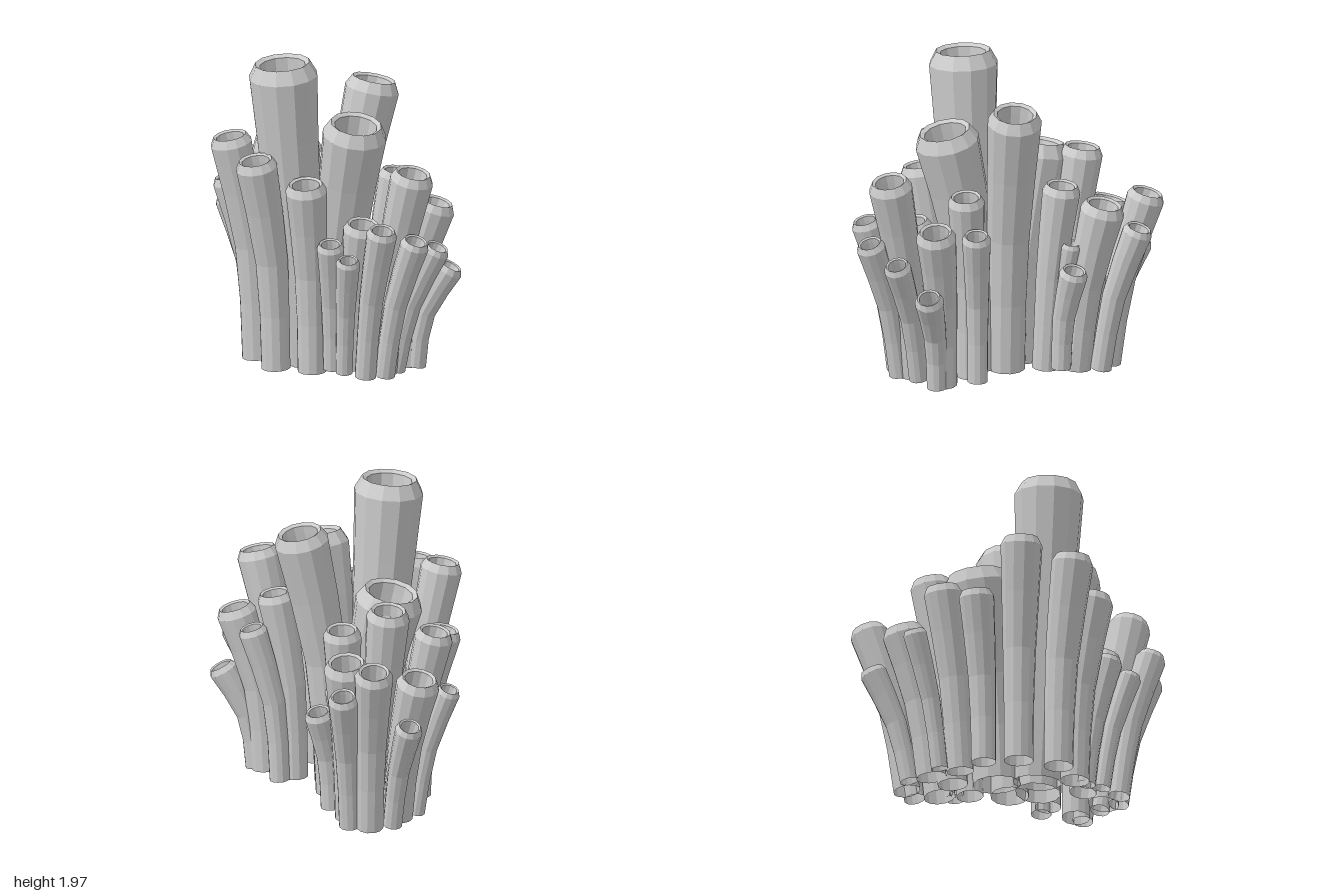
import * as THREE from 'three';

const SIDES = 12;

// Each cluster: how far its feet gather toward the middle in x and z, foot height,
// how much of the sideways lean is reached at half height,
// and its tubes as rim centre x, y, z and widest radius
const CLUSTERS = [
  {
    name: 'tallTube', gatherX: 0.38, gatherZ: 0.75, foot: 0.05, bend: 0.6,
    tubes: [[-0.32, 1.98, 0.175, 0.215]],
  },
  {
    name: 'middleTube', gatherX: 0.3, gatherZ: 0.42, foot: 0.05, bend: 0.24,
    tubes: [
      [0.33, 1.77, -0.01, 0.17],
      [0.09, 1.61, 0.38, 0.2],
      [-0.18, 1.41, -0.26, 0.21],
    ],
  },
  {
    name: 'rightTube', gatherX: 0.71, gatherZ: 0.77, foot: 0.05, bend: 0.2,
    tubes: [
      [-0.59, 1.48, -0.04, 0.13],
      [-0.53, 1.41, 0.29, 0.13],
      [-0.26, 1.28, 0.46, 0.13],
      [-0.51, 1.14, -0.31, 0.11],
    ],
  },
  {
    name: 'frontTube', gatherX: 0.57, gatherZ: 0.76, foot: 0.08, bend: 0.33,
    tubes: [
      [0.33, 1.39, 0.78, 0.135],
      [0.07, 1.03, 0.58, 0.12],
      [0.1, 1.07, 0.88, 0.095],
      [0.31, 0.99, 0.9, 0.09],
      [0.49, 0.9, 0.77, 0.085],
      [-0.07, 0.85, 0.72, 0.075],
      [-0.14, 0.92, 0.58, 0.085],
    ],
  },
  {
    name: 'leftTube', gatherX: 0.69, gatherZ: 0.84, foot: 0.07, bend: 0.2,
    tubes: [
      [0.38, 1.27, 0.31, 0.115],
      [0.54, 1.07, 0.28, 0.09],
      [0.56, 1.12, 0.54, 0.125],
      [0.63, 0.72, 0.6, 0.09],
      [0.34, 0.73, -0.38, 0.09],
      [0.23, 0.87, -0.385, 0.065],
    ],
  },
  {
    name: 'backTube', gatherX: 0.63, gatherZ: 0.73, foot: 0.035, bend: 0.33,
    tubes: [
      [0.17, 1.23, -0.34, 0.12],
      [0.23, 1.11, -0.59, 0.14],
      [-0.07, 1.39, -0.52, 0.135],
      [-0.38, 1.21, -0.5, 0.12],
      [-0.2, 1.0, -0.72, 0.135],
      [-0.41, 0.89, -0.68, 0.075],
      [-0.08, 0.76, -0.89, 0.085],
      [0.15, 1.14, -0.88, 0.12],
      [0.32, 0.97, -0.79, 0.095],
    ],
  },
];

// Hollow tube lofted along a bent centre line: outer wall, bevelled lip, inner wall, floor
function tubeGeometry(base, top, r, bend) {
  const middle = base.clone().lerp(top, bend);
  middle.y = (base.y + top.y) / 2;
  const path = new THREE.CatmullRomCurve3([base, middle, top]);
  const length = path.getLength();
  const lip = 1 - (0.4 * r) / length;
  const rim = 1 - (0.08 * r) / length;
  const floor = 0.7;

  // [position along the path, share of the widest radius]
  const rings = [
    [0, 0.7], [0.25, 0.72], [0.5, 0.79], [0.75, 0.9], [lip, 1],
    [1, 0.79], [rim, 0.66], [lip, 0.64], [floor, 0.52],
  ];
  const positions = [];
  const index = [];
  for (const [t, share] of rings) {
    const centre = path.getPointAt(t);
    const axis = path.getTangentAt(t);
    const n = new THREE.Vector3(1, 0, 0).addScaledVector(axis, -axis.x).normalize();
    const b = new THREE.Vector3().crossVectors(axis, n);
    for (let j = 0; j < SIDES; j++) {
      const a = (j / SIDES) * Math.PI * 2;
      const p = centre.clone()
        .addScaledVector(n, Math.cos(a) * r * share)
        .addScaledVector(b, Math.sin(a) * r * share);
      positions.push(p.x, p.y, p.z);
    }
  }
  for (let i = 0; i < rings.length - 1; i++) {
    for (let j = 0; j < SIDES; j++) {
      const a = i * SIDES + j;
      const c = i * SIDES + ((j + 1) % SIDES);
      index.push(a, c, c + SIDES, a, c + SIDES, a + SIDES);
    }
  }
  // floor inside the tube
  const last = (rings.length - 1) * SIDES;
  const hub = rings.length * SIDES;
  positions.push(...path.getPointAt(floor).toArray());
  for (let j = 0; j < SIDES; j++) index.push(last + j, last + ((j + 1) % SIDES), hub);

  const geometry = new THREE.BufferGeometry();
  geometry.setAttribute('position', new THREE.Float32BufferAttribute(positions, 3));
  geometry.setIndex(index);
  geometry.computeVertexNormals();
  return geometry;
}

export function createModel() {
  const model = new THREE.Group();
  model.name = 'tubeSponge';
  const material = new THREE.MeshStandardMaterial({
    color: 0xcccccc, flatShading: true, side: THREE.DoubleSide,
  });
  for (const { name, gatherX, gatherZ, foot, bend, tubes } of CLUSTERS) {
    tubes.forEach(([x, y, z, r], i) => {
      const base = new THREE.Vector3(x * gatherX, foot, z * gatherZ);
      const top = new THREE.Vector3(x, y, z);
      const tube = new THREE.Mesh(tubeGeometry(base, top, r, bend), material);
      tube.name = `${name}${i + 1}`;
      model.add(tube);
    });
  }
  return model;
}
